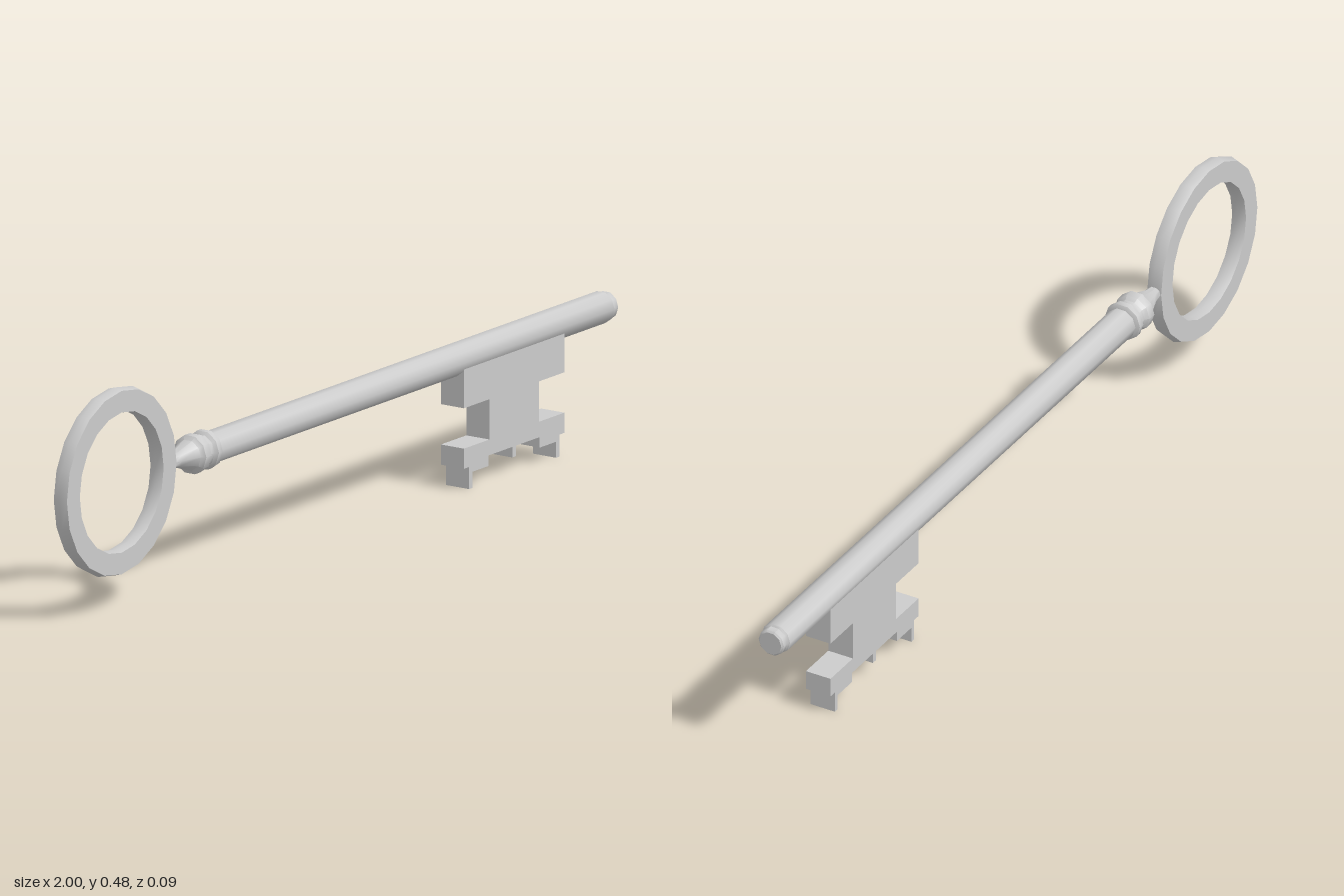
import * as THREE from 'three';
import { toCreasedNormals } from 'three/addons/utils/BufferGeometryUtils.js';

const AXIS_Y = 0.28;

export function createModel() {
  const key = new THREE.Group();
  key.name = 'key';
  const material = new THREE.MeshStandardMaterial({ color: 0xcccccc });

  const add = (name, geometry, x = 0, y = 0) => {
    const mesh = new THREE.Mesh(geometry, material);
    mesh.name = name;
    mesh.position.set(x, y, 0);
    key.add(mesh);
  };

  // Turned part along x, from [x, radius] pairs
  const turned = (pairs, crease) => {
    const points = pairs.map(([x, r]) => new THREE.Vector2(r, x));
    const geometry = new THREE.LatheGeometry(points, 10).rotateZ(-Math.PI / 2);
    return toCreasedNormals(geometry, crease);
  };

  // Flat ring handle with slightly crowned rims
  const ringProfile = [
    [0.149, 0], [0.153, -0.017], [0.2, -0.017], [0.205, 0],
    [0.2, 0.017], [0.153, 0.017], [0.149, 0],
  ].map(([r, z]) => new THREE.Vector2(r, z));
  const ring = new THREE.LatheGeometry(ringProfile, 20).rotateX(Math.PI / 2);
  add('bow', toCreasedNormals(ring, 0.8), -0.795, AXIS_Y);

  // Tapered neck with two raised bands
  add('collar', turned([
    [-0.6, 0], [-0.6, 0.015], [-0.575, 0.018], [-0.53, 0.034],
    [-0.523, 0.043], [-0.503, 0.043], [-0.495, 0.036], [-0.483, 0.036],
    [-0.477, 0.043], [-0.463, 0.043], [-0.458, 0.035], [-0.458, 0],
  ], 0.7), 0, AXIS_Y);

  // Shank with a small stepped tip
  add('shank', turned([
    [-0.47, 0], [-0.47, 0.035], [0.977, 0.035], [0.981, 0.031],
    [0.996, 0.031], [1, 0.027], [1, 0],
  ], 0.7), 0, AXIS_Y);

  // Bit: half outline mirrored about its centre line
  const half = [
    [0.183, 0.27], [0.183, 0.18], [0.09, 0.18], [0.09, 0.092],
    [0.183, 0.092], [0.183, 0.048], [0.165, 0.048], [0.165, 0],
    [0.153, 0], [0.153, 0.035], [0.093, 0.035], [0.093, 0.058],
    [0.007, 0.058], [0.007, 0.035],
  ];
  const mirrored = half.map(([x, y]) => [-x, y]).reverse();
  const outline = [...half, ...mirrored].map(([x, y]) => new THREE.Vector2(x, y));
  const bit = new THREE.ExtrudeGeometry(new THREE.Shape(outline), {
    depth: 0.06, bevelEnabled: false,
  }).translate(0, 0, -0.03);
  add('bit', bit, 0.618, 0);

  return key;
}
